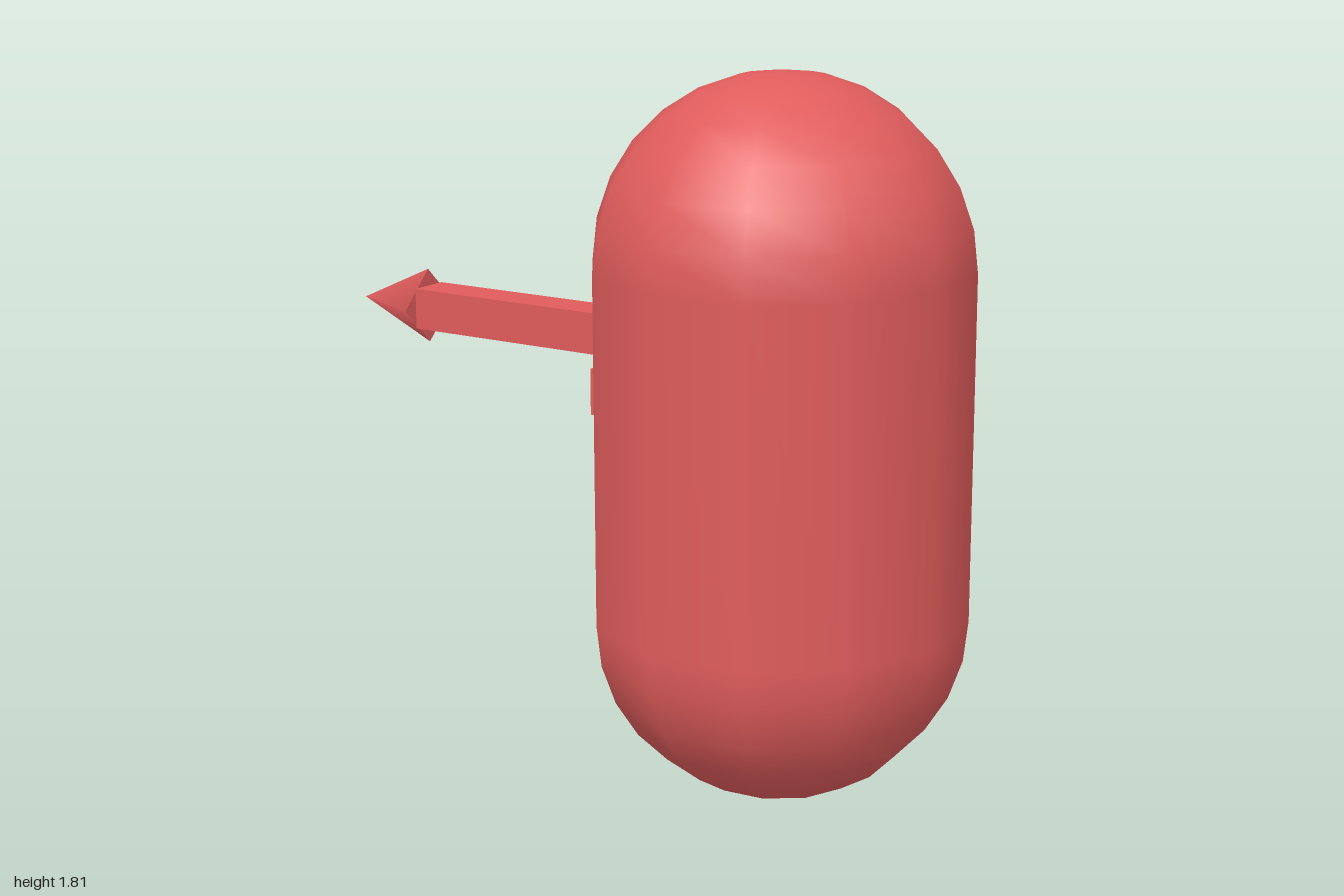
import * as THREE from 'three';

export function createModel() {
  const model = new THREE.Group();
  const red = new THREE.MeshStandardMaterial({ name: 'red', color: 0xe05c5c });
  const black = new THREE.MeshStandardMaterial({ name: 'black', color: 0x20222b });

  function add(parent, name, geometry, material, x, y, z) {
    const mesh = new THREE.Mesh(geometry, material);
    mesh.name = name;
    mesh.position.set(x, y, z);
    parent.add(mesh);
    return mesh;
  }

  // Twelve-sided capsule body
  const radius = 0.472, height = 1.81;
  add(model, 'body', new THREE.CapsuleGeometry(radius, height - 2 * radius, 7, 12),
    red, 0, height / 2, 0.525);

  // Dark block set into the upper back
  add(model, 'backBlock', new THREE.BoxGeometry(0.335, 0.12, 0.082), black, 0, 1.47, 0.078);

  // Two arrow-tipped arms crossing behind the body, each pointing along its local -z
  const inner = 0.597, base = 0.952, tip = 1.19;
  for (const side of [1, -1]) {
    const arm = new THREE.Group();
    arm.name = side > 0 ? 'leftPointingArm' : 'rightPointingArm';
    arm.position.set(0, 1.012, -0.09);
    arm.rotation.y = -side * THREE.MathUtils.degToRad(40);
    add(arm, 'shaft', new THREE.BoxGeometry(0.118, 0.116, inner + base),
      red, 0, 0, (inner - base) / 2);
    // Four-sided head with corners up, down and to the sides
    const head = new THREE.ConeGeometry(0.107, tip - base, 4).rotateX(-Math.PI / 2);
    add(arm, 'arrowhead', head, red, 0, 0, -(base + tip) / 2);
    model.add(arm);
  }
  return model;
}
